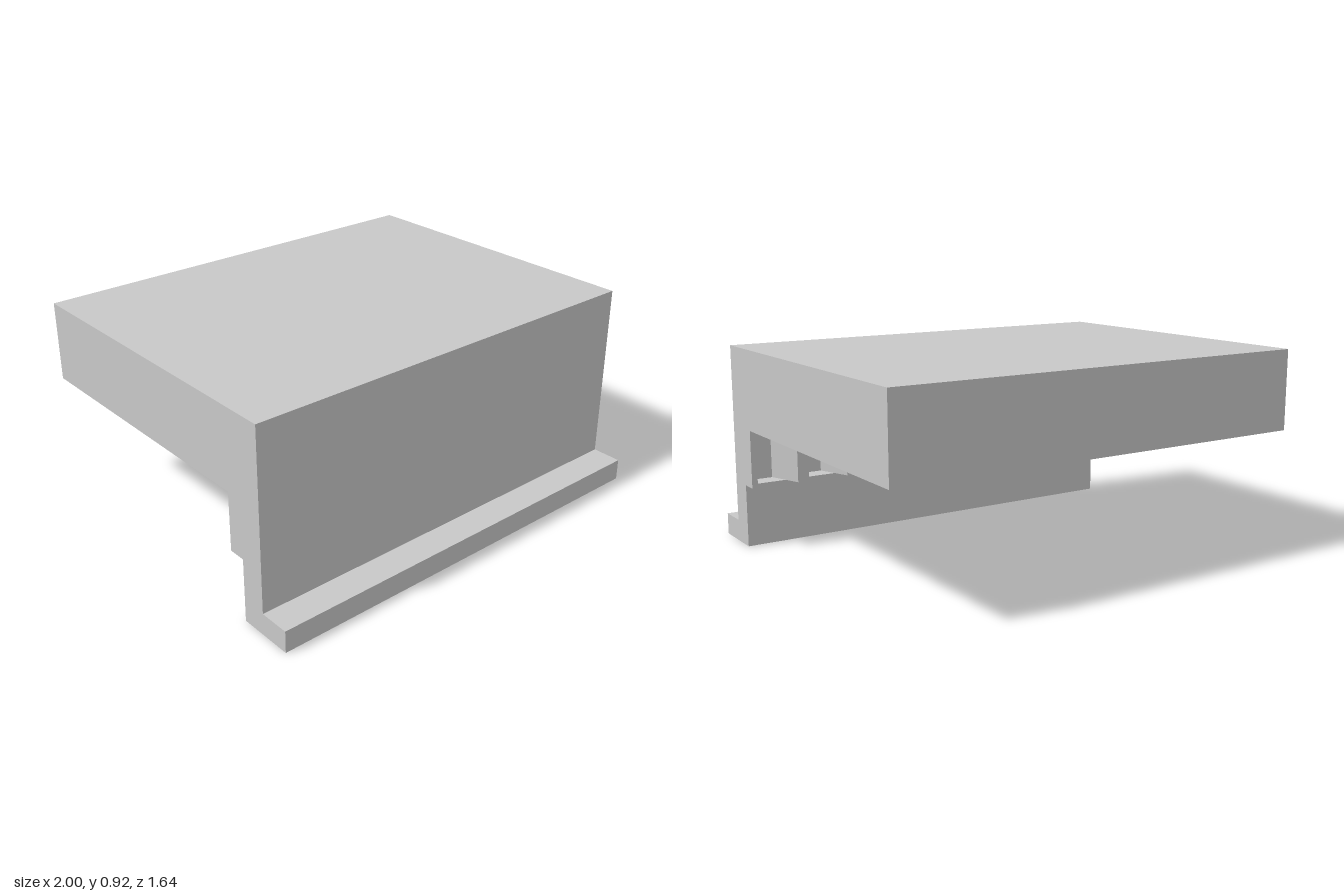
import * as THREE from 'three';

export function createModel() {
  const model = new THREE.Group();
  const grey = new THREE.MeshStandardMaterial({ color: 0xc8c8c8 });
  grey.name = 'light grey';

  // Full-width slab given by its y and z limits
  function slab(name, y0, y1, z0, z1) {
    const mesh = new THREE.Mesh(new THREE.BoxGeometry(2, y1 - y0, z1 - z0), grey);
    mesh.position.set(0, (y0 + y1) / 2, (z0 + z1) / 2);
    mesh.name = name;
    model.add(mesh);
  }

  const ledgeY = 0.29, deckY = 0.555, front = 0.68, back = 0.563;
  slab('deck', deckY, 0.92, -0.82, front);
  slab('lowerWall', 0.1, ledgeY, back, front);
  slab('foot', 0, 0.1, back, 0.82);

  // Toothed wall: tapered teeth every quarter unit, half a tooth at each end
  const pitch = 0.25, tip = 0.027, slope = 0.06, tipZ = 0.485, rootZ = 0.65;
  const plan = new THREE.Shape();
  plan.moveTo(-1, -front);
  plan.lineTo(1, -front);
  plan.lineTo(1, -tipZ);
  for (let i = 0; i < 8; i++) {
    const x = 1 - i * pitch;
    plan.lineTo(x - tip, -tipZ);
    plan.lineTo(x - tip - slope, -rootZ);
    plan.lineTo(x - pitch + tip + slope, -rootZ);
    plan.lineTo(x - pitch + tip, -tipZ);
  }
  plan.lineTo(-1, -tipZ);
  plan.closePath();
  const geometry = new THREE.ExtrudeGeometry(plan, { depth: deckY - ledgeY, bevelEnabled: false });
  geometry.rotateX(-Math.PI / 2);
  const teeth = new THREE.Mesh(geometry, grey);
  teeth.position.y = ledgeY;
  teeth.name = 'toothedWall';
  model.add(teeth);

  return model;
}
